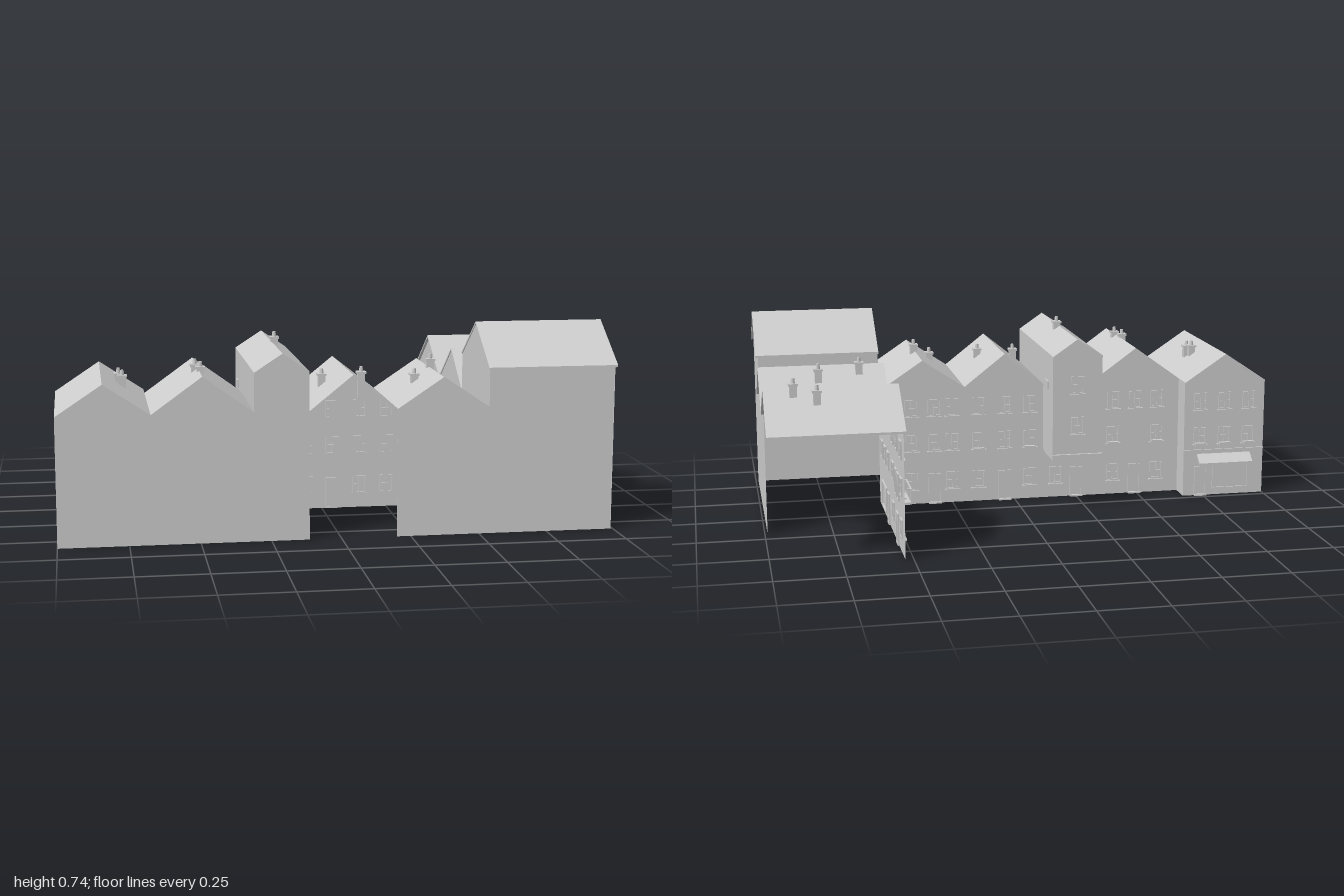
import * as THREE from 'three';

const plaster = new THREE.MeshStandardMaterial({ color: 0xcccccc, side: THREE.DoubleSide });
plaster.name = 'plain grey';

const EAVE = 0.46;

// Row houses along x: facade at zf, gables face front and back
const ROW = [
  { a: -1, r: -0.835, b: -0.67, eave: EAVE, top: 0.57, zf: 0.03 },
  { a: -0.67, r: -0.49, b: -0.31, eave: EAVE, top: 0.59, zf: 0.12 },
  { a: -0.31, r: -0.21, b: -0.115, eave: 0.6, top: 0.665, zf: -0.06, base: 0.2 },
  { a: -0.115, r: 0.04, b: 0.2, eave: EAVE, top: 0.585, zf: 0.12 },
  { a: 0.2, r: 0.365, b: 0.53, eave: EAVE, top: 0.57, zf: 0.12 },
];
// Wing houses along z: facade at x = 0.53, gables face the sides
const WING = [
  { a: 0.18, r: 0.39, b: 0.605, eave: 0.6, top: 0.74 },
  { a: -0.19, r: 0, b: 0.18, eave: EAVE, top: 0.59 },
  { a: -0.6, r: -0.4, b: -0.19, eave: EAVE, top: 0.59 },
];

export function createModel() {
  const model = new THREE.Group();
  model.name = 'terrace of houses';

  const add = (parent, name, geometry, x = 0, y = 0, z = 0) => {
    const mesh = new THREE.Mesh(geometry, plaster);
    mesh.name = name;
    mesh.position.set(x, y, z);
    parent.add(mesh);
    return mesh;
  };
  const box = (parent, name, w, h, d, x, y, z) =>
    add(parent, name, new THREE.BoxGeometry(w, h, d), x, y, z);
  const shapeOf = pts => new THREE.Shape(pts.map(p => new THREE.Vector2(...p)));
  const panel = (parent, name, pts) => add(parent, name, new THREE.ShapeGeometry(shapeOf(pts)));

  // A group whose local z points out of a wall
  const plane = (name, angle, x, z) => {
    const g = new THREE.Group();
    g.name = name;
    g.rotation.y = angle;
    g.position.set(x, 0, z);
    model.add(g);
    return g;
  };
  const gable = (h, base, s = 1) => [
    [s * h.a, base], [s * h.b, base], [s * h.b, h.eave], [s * h.r, h.top], [s * h.a, h.eave],
  ];

  // Thin folded roof, extruded along local z
  const roof = (parent, h, from, to) => {
    const t = 0.008;
    const geo = new THREE.ExtrudeGeometry(shapeOf([
      [h.a, h.eave], [h.r, h.top], [h.b, h.eave],
      [h.b, h.eave - t], [h.r, h.top - t], [h.a, h.eave - t],
    ]), { depth: to - from, bevelEnabled: false });
    add(parent, 'roof', geo, 0, 0.003, from);
  };

  // Rectangular frame standing a little proud of both sides of the wall
  const frame = (parent, name, u, y, w, h) => {
    const t = 0.005, W = w / 2, H = h / 2;
    const s = shapeOf([[-W, -H], [W, -H], [W, H], [-W, H]]);
    s.holes.push(new THREE.Path([
      [-W + t, -H + t], [-W + t, H - t], [W - t, H - t], [W - t, -H + t],
    ].map(p => new THREE.Vector2(...p))));
    add(parent, name, new THREE.ExtrudeGeometry(s, { depth: 0.012, bevelEnabled: false }), u, y, -0.006);
  };
  const window_ = (parent, u, y, w = 0.05, h = 0.068) => {
    frame(parent, 'window frame', u, y, w, h);
    box(parent, 'glazing bar', 0.003, h, 0.008, u, y, 0);
    box(parent, 'glazing bar', w, 0.003, 0.008, u, y, 0);
    box(parent, 'window sill', w + 0.01, 0.006, 0.014, u, y - h / 2 - 0.003, 0.006);
  };
  const door = (parent, u, w = 0.05, h = 0.12) => {
    frame(parent, 'door frame', u, h / 2, w, h);
    box(parent, 'door leaf', w - 0.01, h - 0.008, 0.006, u, h / 2, 0);
    box(parent, 'doorstep', w, 0.006, 0.015, u, 0.003, 0.008);
  };
  const windowRows = (parent, us, ys) => ys.forEach(y => us.forEach(u => window_(parent, u, y)));
  const flowerBox = (parent, u, y) => box(parent, 'flower box', 0.045, 0.014, 0.016, u, y, 0.009);
  const awning = (parent, u, w, y, out) => {
    const s = shapeOf([[0, y + 0.03], [out, y], [out, y - 0.012], [0, y + 0.022]]);
    const m = add(parent, 'awning', new THREE.ExtrudeGeometry(s, { depth: w, bevelEnabled: false }), u + w / 2, 0, 0);
    m.rotation.y = -Math.PI / 2;
  };

  // Row facades and roofs (local u = -x)
  const fronts = ROW.map((h, i) => {
    const g = plane(`row house ${i + 1} facade`, Math.PI, 0, h.zf);
    panel(g, 'facade wall', gable(h, h.base || 0, -1));
    roof(model, h, h.zf - 0.004, 0.6);
    return g;
  });
  const [shop, second, jetty, fourth, fifth] = fronts;

  windowRows(shop, [0.735, 0.835, 0.935], [0.245, 0.385]);
  [0.735, 0.835, 0.935].forEach(u => flowerBox(shop, u, 0.21));
  frame(shop, 'shop window', 0.865, 0.075, 0.15, 0.1);
  door(shop, 0.74);
  awning(shop, 0.835, 0.22, 0.14, 0.04);
  box(shop, 'string course', 0.33, 0.006, 0.008, 0.835, 0.185, 0.002);

  windowRows(second, [0.4, 0.58], [0.245, 0.385]);
  window_(second, 0.49, 0.385);
  [0.4, 0.58].forEach(u => flowerBox(second, u, 0.21));
  door(second, 0.49);
  windowRows(second, [0.4, 0.58], [0.09]);

  // Overhanging upper storeys on beams
  window_(jetty, 0.2125, 0.33);
  window_(jetty, 0.2125, 0.49);
  box(jetty, 'jetty beam', 0.2, 0.025, 0.012, 0.2125, 0.205, 0.004);
  for (let i = 0; i < 6; i++) box(model, 'floor joist', 0.01, 0.015, 0.18, -0.3 + i * 0.035, 0.195, 0.03);
  box(model, 'jetty floor', 0.195, 0.006, 0.18, -0.2125, 0.206, 0.03);
  const under = plane('jetty ground floor', Math.PI, 0, 0.12);
  panel(under, 'ground wall', [[0.115, 0], [0.31, 0], [0.31, 0.2], [0.115, 0.2]]);
  door(under, 0.25);
  window_(under, 0.165, 0.09);

  windowRows(fourth, [0.06, -0.04, -0.145], [0.245, 0.385]);
  [0.06, -0.145].forEach(u => flowerBox(fourth, u, 0.21));
  windowRows(fourth, [0.06, -0.145], [0.09]);
  door(fourth, -0.04);
  windowRows(fifth, [-0.25, -0.32, -0.41, -0.48], [0.245, 0.385]);
  windowRows(fifth, [-0.25, -0.41, -0.48], [0.09]);
  door(fifth, -0.32);

  // Back walls, leaving the fourth house open
  const back = plane('back walls', 0, 0, 0.598);
  [0, 1, 2, 4].forEach(i => panel(back, 'back wall', gable(ROW[i], 0)));
  panel(back, 'back wall', [[0.53, 0], [0.99, 0], [0.99, 0.6], [0.53, 0.6]]);

  // Exposed flanks between neighbours (local u = z)
  const flank = (x, pts) => panel(plane('flank wall', -Math.PI / 2, x, 0), 'side wall', pts);
  [-0.31, -0.115].forEach(x => flank(x, [
    [-0.06, 0.2], [0.12, 0.2], [0.12, 0.45], [0.598, 0.45], [0.598, 0.6], [-0.06, 0.6],
  ]));
  [-0.313, -0.112].forEach(x => box(model, 'wall bracket', 0.006, 0.03, 0.055, x, 0.48, 0.035));
  flank(-0.67, [[0.03, 0], [0.12, 0], [0.12, EAVE], [0.03, EAVE]]);
  panel(plane('party wall', 0, 0, 0.18), 'side wall', [[0.53, EAVE], [0.99, EAVE], [0.99, 0.6], [0.53, 0.6]]);

  // Wing roofs, street facades and outer gables (local u = z, out = -x)
  const wing = plane('wing facades', -Math.PI / 2, 0.53, 0);
  WING.forEach((h, i) => {
    roof(wing, h, -0.47, i === 2 ? 0.01 : 0.003);
    panel(wing, 'facade wall', gable(h, i === 0 ? 0.45 : 0));
  });
  const outer = plane('outer gables', -Math.PI / 2, 0.99, 0);
  [0, 1].forEach(i => panel(outer, 'outer wall', gable(WING[i], 0)));

  windowRows(wing, [-0.28, -0.515], [0.093, 0.245, 0.38]);
  window_(wing, -0.4, 0.385);
  flowerBox(wing, -0.4, 0.345);
  door(wing, -0.4);
  [-0.365, -0.435].forEach(u => frame(wing, 'balcony door', u, 0.225, 0.047, 0.1));
  windowRows(wing, [-0.13, -0.035, 0.06], [0.245, 0.385]);
  frame(wing, 'shop window', 0, 0.07, 0.14, 0.1);
  door(wing, -0.13);
  awning(wing, -0.03, 0.24, 0.15, 0.05);

  // Balcony with railing
  box(wing, 'balcony floor', 0.14, 0.008, 0.04, -0.4, 0.168, 0.022);
  box(wing, 'balcony rail', 0.14, 0.005, 0.005, -0.4, 0.22, 0.04);
  for (let i = 0; i < 9; i++) box(wing, 'baluster', 0.003, 0.05, 0.003, -0.467 + i * 0.0168, 0.195, 0.04);
  [-0.468, -0.332].forEach(u => box(wing, 'balcony side rail', 0.004, 0.005, 0.04, u, 0.22, 0.022));

  // Chimneys: x, z, top height
  [
    [-0.77, 0.285, 0.585], [-0.757, 0.31, 0.58], [-0.5, 0.38, 0.625], [-0.485, 0.445, 0.625],
    [-0.2, 0.27, 0.705], [-0.04, 0.375, 0.58], [0.105, 0.38, 0.585], [0.3, 0.39, 0.575],
    [0.37, 0.335, 0.62], [0.625, -0.035, 0.625], [0.78, -0.065, 0.61],
    [0.815, -0.465, 0.612], [0.895, -0.43, 0.632],
  ].forEach(([x, z, top]) => {
    const c = new THREE.Group();
    c.name = 'chimney';
    c.position.set(x, top, z);
    model.add(c);
    const h = Math.min(0.135, top - 0.035 - EAVE);
    box(c, 'chimney stack', 0.026, h, 0.026, 0, -0.025 - h / 2, 0);
    box(c, 'chimney cap', 0.034, 0.008, 0.034, 0, -0.022, 0);
    add(c, 'chimney pot', new THREE.CylinderGeometry(0.006, 0.008, 0.02, 8), 0, -0.01, 0);
  });

  return model;
}
